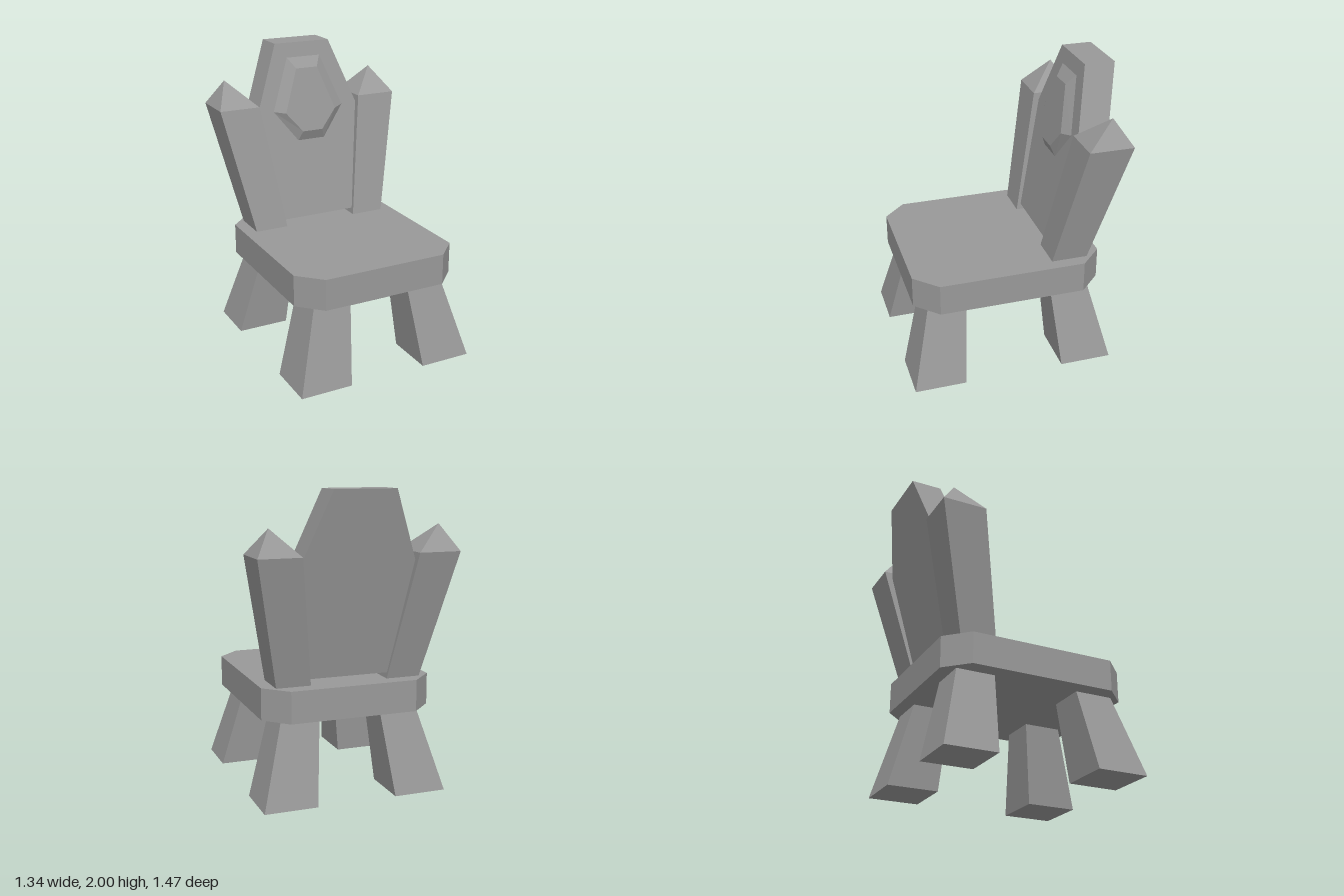
import * as THREE from 'three';

const material = new THREE.MeshStandardMaterial({ color: 0x999999, flatShading: true });
const v = (x, y, z) => new THREE.Vector3(x, y, z);

// Faceted solid skinned through rings of equal length, capped at both ends.
// Rings run counterclockwise when seen from the last ring's side.
function loft(name, rings) {
  const pos = [];
  const area = new THREE.Triangle();
  const tri = (a, b, c) => {
    if (area.set(a, b, c).getArea() > 1e-8) for (const p of [a, b, c]) pos.push(p.x, p.y, p.z);
  };
  const n = rings[0].length;
  for (let r = 0; r < rings.length - 1; r++) {
    const a = rings[r], b = rings[r + 1];
    for (let i = 0; i < n; i++) {
      const j = (i + 1) % n;
      tri(a[i], a[j], b[j]);
      tri(a[i], b[j], b[i]);
    }
  }
  const first = rings[0], last = rings[rings.length - 1];
  for (let i = 1; i < n - 1; i++) {
    tri(first[0], first[i + 1], first[i]);
    tri(last[0], last[i], last[i + 1]);
  }
  const geometry = new THREE.BufferGeometry();
  geometry.setAttribute('position', new THREE.Float32BufferAttribute(pos, 3));
  geometry.computeVertexNormals();
  const mesh = new THREE.Mesh(geometry, material);
  mesh.name = name;
  return mesh;
}

// Horizontal rectangle; xa and xb may come in either order.
function rect(y, xa, xb, zBack, zFront) {
  const l = Math.min(xa, xb), r = Math.max(xa, xb);
  return [v(l, y, zFront), v(r, y, zFront), v(r, y, zBack), v(l, y, zBack)];
}

// Front plane of the reclined backrest, moved forward by d.
const lean = (points, d) => points.map(([x, y]) => v(x, y, -0.274 - (y - 0.8) * 0.213 + d));

export function createModel() {
  const model = new THREE.Group();

  // Seat slab with cut corners
  const seat = (y) => [
    [-0.43, 0.69], [0.43, 0.69], [0.58, 0.54], [0.58, -0.44],
    [0.43, -0.59], [-0.43, -0.59], [-0.58, -0.44], [-0.58, 0.54],
  ].map(([x, z]) => v(x, y, z));
  model.add(loft('seat', [seat(0.55), seat(0.76)]));

  for (const [side, s] of [['left', 1], ['right', -1]]) {
    // Splayed tapering legs
    model.add(loft(side + 'FrontLeg', [
      rect(0, s * 0.27, s * 0.625, 0.39, 0.737),
      rect(0.55, s * 0.21, s * 0.47, 0.342, 0.6),
    ]));
    model.add(loft(side + 'BackLeg', [
      rect(0, s * 0.27, s * 0.625, -0.637, -0.287),
      rect(0.55, s * 0.21, s * 0.47, -0.5, -0.24),
    ]));

    // Back post, widening upward to a pointed cap
    const apex = v(s * 0.565, 1.77, -0.583);
    model.add(loft(side + 'BackPost', [
      rect(0.76, s * 0.263, s * 0.495, -0.487, -0.243),
      rect(1.6, s * 0.385, s * 0.668, -0.695, -0.4),
      [apex, apex, apex, apex],
    ]));
  }

  // Reclined backrest panel
  const panel = [[-0.27, 0.8], [0.27, 0.8], [0.38, 1.55], [0.205, 2], [-0.205, 2], [-0.38, 1.55]];
  model.add(loft('backrest', [lean(panel, -0.205), lean(panel, 0)]));

  // Raised bevelled gem on the panel
  const gemBase = [[-0.1, 1.332], [0.1, 1.332], [0.265, 1.545], [0.125, 1.9], [-0.125, 1.9], [-0.265, 1.545]];
  const gemFace = [[-0.075, 1.4], [0.075, 1.4], [0.19, 1.535], [0.08, 1.83], [-0.08, 1.83], [-0.19, 1.535]];
  model.add(loft('backrestGem', [lean(gemBase, 0), lean(gemFace, 0.042)]));

  return model;
}
